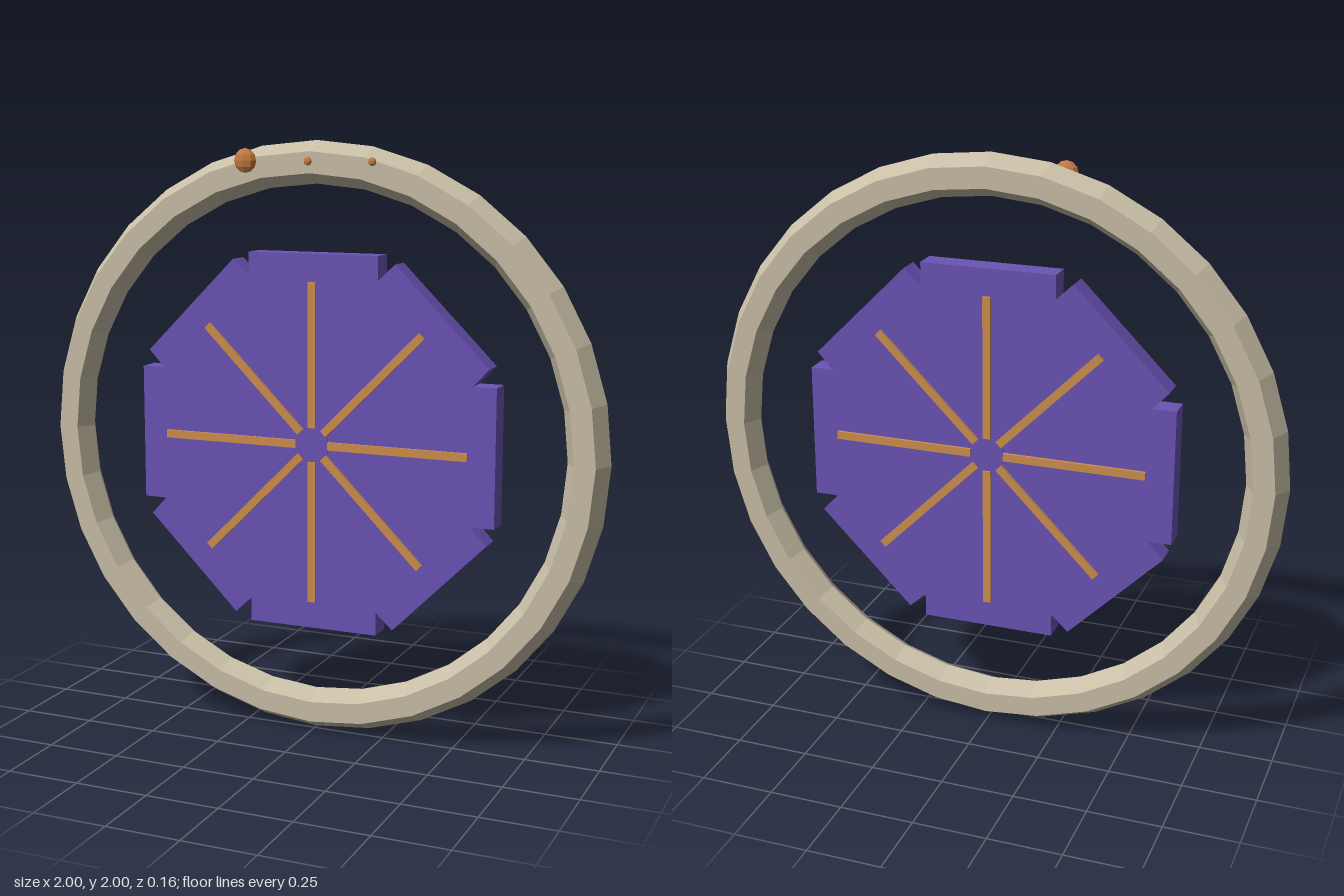
import * as THREE from 'three';

const MID_Y = 1, MID_Z = -0.02;

function material(name, color, flat = true) {
  const m = new THREE.MeshStandardMaterial({ color, flatShading: flat });
  m.name = name;
  return m;
}

export function createModel() {
  const group = new THREE.Group();
  const stone = material('pale stone', 0xc8bea6);
  const purple = material('purple', 0x6a53b5);
  const brass = material('brass', 0xcd8f4c);
  const copper = material('copper', 0xc47c42);

  function add(name, geometry, mat, x, y, z) {
    const mesh = new THREE.Mesh(geometry, mat);
    mesh.name = name;
    mesh.position.set(x, y, z);
    group.add(mesh);
    return mesh;
  }

  // Outer ring with a hexagonal section
  add('ring', new THREE.TorusGeometry(0.93, 0.07, 6, 32), stone, 0, MID_Y, MID_Z);

  // Notched plate: the joint outline of eight radial panels
  const halfWidth = 0.23, reach = 0.635, depth = 0.08;
  const notch = halfWidth / Math.tan(Math.PI / 8);
  const points = [];
  for (let i = 0; i < 8; i++) {
    const half = i % 2 ? 0.227 : halfWidth;
    for (const [r, s] of [[reach, -half], [reach, half], [notch, halfWidth]]) {
      points.push(new THREE.Vector2(r, s).rotateAround(new THREE.Vector2(), i * Math.PI / 4));
    }
  }
  const plate = new THREE.ExtrudeGeometry(new THREE.Shape(points), { depth, bevelEnabled: false });
  plate.translate(0, 0, -depth / 2);
  add('plate', plate, purple, 0, MID_Y, MID_Z);

  // Hub and eight spokes, showing on both faces of the plate
  const hub = new THREE.CylinderGeometry(0.06, 0.06, 0.09, 16);
  hub.rotateX(Math.PI / 2);
  add('hub', hub, purple, 0, MID_Y, MID_Z);
  for (let i = 0; i < 8; i++) {
    const spoke = new THREE.BoxGeometry(0.485, 0.027, 0.1);
    spoke.translate(0.3, 0, 0);
    add('spoke', spoke, brass, 0, MID_Y, MID_Z).rotation.z = i * Math.PI / 4;
  }

  // Flattened beads on the front of the ring
  for (const [x, r] of [[-0.222, 0.04], [0, 0.014], [0.222, 0.014]]) {
    const bead = new THREE.SphereGeometry(r, 8, 6);
    bead.scale(1, 1, 0.53);
    add('bead', bead, copper, x, 1.934, 0.058);
  }
  return group;
}
